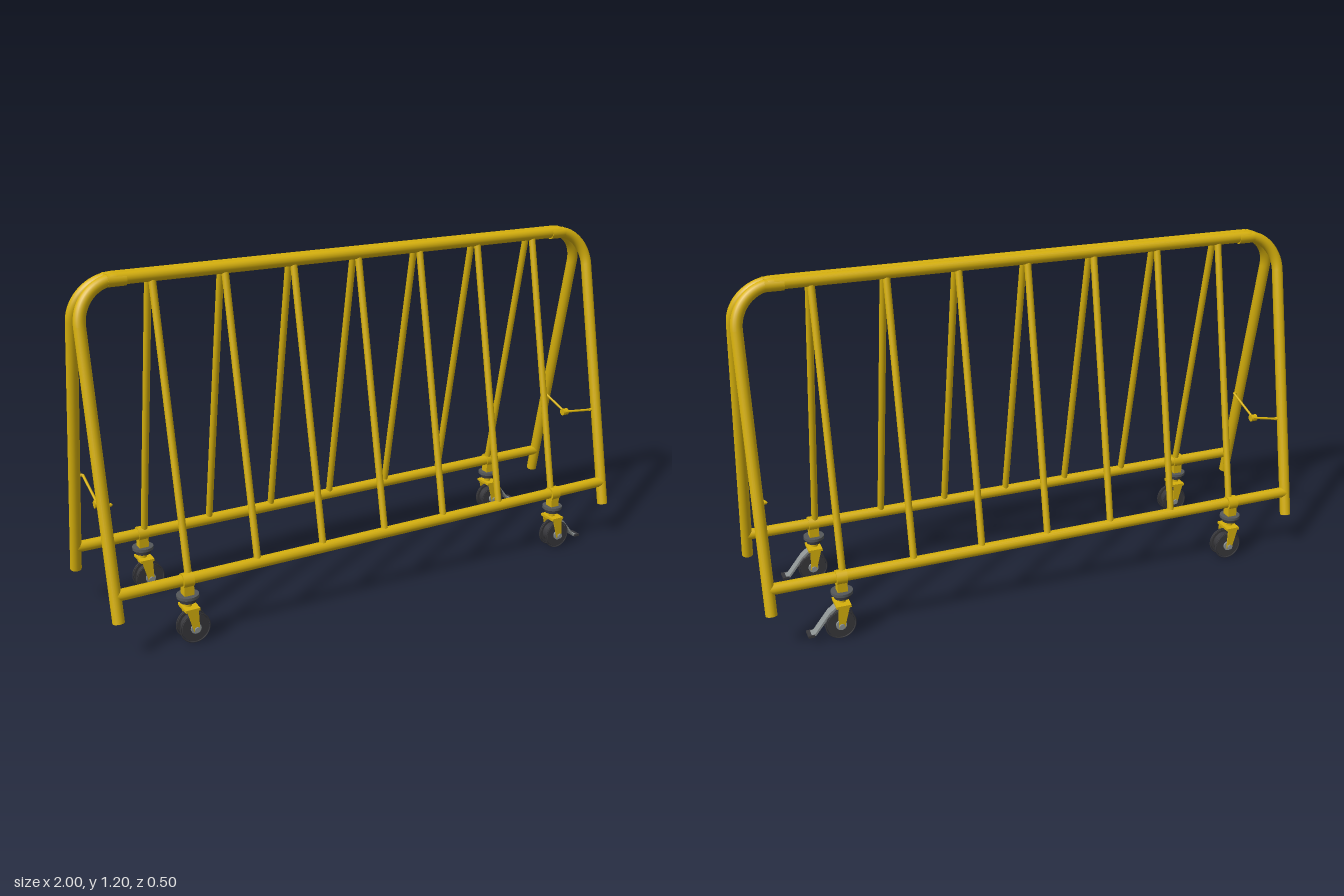
import * as THREE from 'three';

const mat = (name, color) => {
  const m = new THREE.MeshStandardMaterial({ color });
  m.name = name;
  return m;
};
const yellow = mat('yellowPaint', 0xd6b00c);
const dark = mat('darkRubber', 0x38383c);
const steel = mat('greySteel', 0x8e9494);
const darkSteel = mat('darkSteel', 0x55585a);

const V = (x, y, z) => new THREE.Vector3(x, y, z);
const TOP = 1.176, R = 0.0195, BEND = 0.13, SIDE = 0.98;
// Point on the leaning plane of a panel
const P = (x, y) => V(x, y, 0.016 + (TOP - y) * 0.2);

function add(parent, name, geometry, material, x = 0, y = 0, z = 0) {
  const m = new THREE.Mesh(geometry, material);
  m.name = name;
  m.position.set(x, y, z);
  parent.add(m);
  return m;
}

// Round bar between two points
function rod(parent, name, a, b, r, material = yellow, sides = 20) {
  const m = add(parent, name, new THREE.CylinderGeometry(r, r, a.distanceTo(b), sides), material);
  m.position.copy(a).add(b).multiplyScalar(0.5);
  m.quaternion.setFromUnitVectors(V(0, 1, 0), b.clone().sub(a).normalize());
  return m;
}

function makePanel() {
  const g = new THREE.Group();
  g.name = 'barrierPanel';
  rod(g, 'topRail', P(-SIDE + BEND, TOP), P(SIDE - BEND, TOP), R);
  rod(g, 'bottomRail', P(-SIDE, 0.22), P(SIDE, 0.22), R);
  for (const s of [-1, 1]) {
    rod(g, 'leg', P(s * SIDE, 0.134), P(s * SIDE, TOP - BEND), R);
    rod(g, 'legEnd', P(s * SIDE, 0.132), P(s * SIDE, 0.136), R * 0.85, dark);
    const k = BEND * 0.4477;
    const bend = new THREE.CubicBezierCurve3(
      P(s * SIDE, TOP - BEND), P(s * SIDE, TOP - k), P(s * (SIDE - k), TOP), P(s * (SIDE - BEND), TOP));
    add(g, 'cornerBend', new THREE.TubeGeometry(bend, 18, R, 20), yellow);
    rod(g, 'railSleeve', P(s * 0.82, TOP - 0.003), P(s * 0.88, TOP - 0.003), R + 0.001);
  }
  for (let i = -3; i <= 3; i++) rod(g, 'upright', P(i * 0.245, 0.22), P(i * 0.245, TOP), 0.012);
  return g;
}

// Hinged stay that joins the two panels at one end
function makeStay(x) {
  const g = new THREE.Group();
  g.name = 'foldingStay';
  for (const s of [-1, 1]) {
    const end = V(x, 0.5, s * 0.145);
    rod(g, 'stayArm', end, V(x, 0.45, 0), 0.0045, yellow, 10);
    rod(g, 'stayPin', end, V(x + Math.sign(x) * 0.02, 0.5, s * 0.15), 0.006, yellow, 10);
  }
  rod(g, 'stayHinge', V(x - 0.012, 0.45, 0), V(x + 0.012, 0.45, 0), 0.013, yellow, 16);
  return g;
}

// Disc with a vertical axis
const disc = (g, name, r, y0, y1, material) => rod(g, name, V(0, y0, 0), V(0, y1, 0), r, material, 24);

function makeCaster(braked) {
  const g = new THREE.Group();
  g.name = 'caster';
  const wx = 0.014, wy = 0.053;

  // Clamp and swivel
  rod(g, 'railClamp', V(-0.018, 0.22, 0), V(0.018, 0.22, 0), 0.025);
  add(g, 'clampBlock', new THREE.BoxGeometry(0.034, 0.045, 0.034), yellow, 0, 0.192, 0);
  disc(g, 'swivelPlate', 0.037, 0.16, 0.17, darkSteel);
  disc(g, 'swivelBearing', 0.027, 0.144, 0.16, dark);
  disc(g, 'swivelStem', 0.012, 0.122, 0.146, yellow);

  // Fork
  add(g, 'forkCrown', new THREE.BoxGeometry(0.05, 0.009, 0.072), yellow, 0.003, 0.124, 0);
  const arm = new THREE.Shape([
    new THREE.Vector2(-0.018, 0.128), new THREE.Vector2(wx - 0.01, wy - 0.006),
    new THREE.Vector2(wx + 0.01, wy - 0.006), new THREE.Vector2(0.022, 0.128)]);
  for (const s of [-1, 1]) {
    const geo = new THREE.ExtrudeGeometry(arm, { depth: 0.005, bevelEnabled: false });
    add(g, 'forkArm', geo, yellow, 0, 0, s * 0.0325 - 0.0025);
    rod(g, 'axleNut', V(wx, wy, s * 0.034), V(wx, wy, s * 0.041), 0.01, steel, 6);

    // Wheel side with a raised rim
    rod(g, 'wheelSide', V(wx, wy, s * 0.017), V(wx, wy, s * 0.022), 0.047, dark, 32);
    add(g, 'wheelRim', new THREE.TorusGeometry(0.0505, 0.0025, 6, 36), dark, wx, wy, s * 0.02);
    rod(g, 'wheelHub', V(wx, wy, s * 0.02), V(wx, wy, s * 0.028), 0.018, steel, 20);
  }
  rod(g, 'wheelCore', V(wx, wy, -0.018), V(wx, wy, 0.018), 0.038, dark, 28);
  rod(g, 'axle', V(wx, wy, -0.036), V(wx, wy, 0.036), 0.006, steel, 12);

  // Brake pedal
  if (braked) {
    const profile = [[0.02, 0.122], [0.05, 0.098], [0.102, 0.032], [0.124, 0.03],
      [0.124, 0.024], [0.098, 0.026], [0.045, 0.092], [0.02, 0.114]];
    const shape = new THREE.Shape(profile.map(([x, y]) => new THREE.Vector2(x, y)));
    const geo = new THREE.ExtrudeGeometry(shape, { depth: 0.032, bevelEnabled: false });
    add(g, 'brakePedal', geo, steel, 0, 0, -0.016);
    add(g, 'pedalPad', new THREE.BoxGeometry(0.022, 0.008, 0.042), dark, 0.114, 0.027, 0);
  }
  return g;
}

export function createModel() {
  const model = new THREE.Group();
  model.name = 'foldingBarrier';

  const front = makePanel();
  const back = makePanel();
  back.rotation.y = Math.PI;
  model.add(front, back);

  for (const sx of [-1, 1]) {
    model.add(makeStay(sx * 0.953));
    for (const sz of [-1, 1]) {
      const caster = makeCaster(sx > 0);
      caster.position.set(sx * 0.742, 0, sz * 0.21);
      model.add(caster);
    }
  }
  return model;
}
